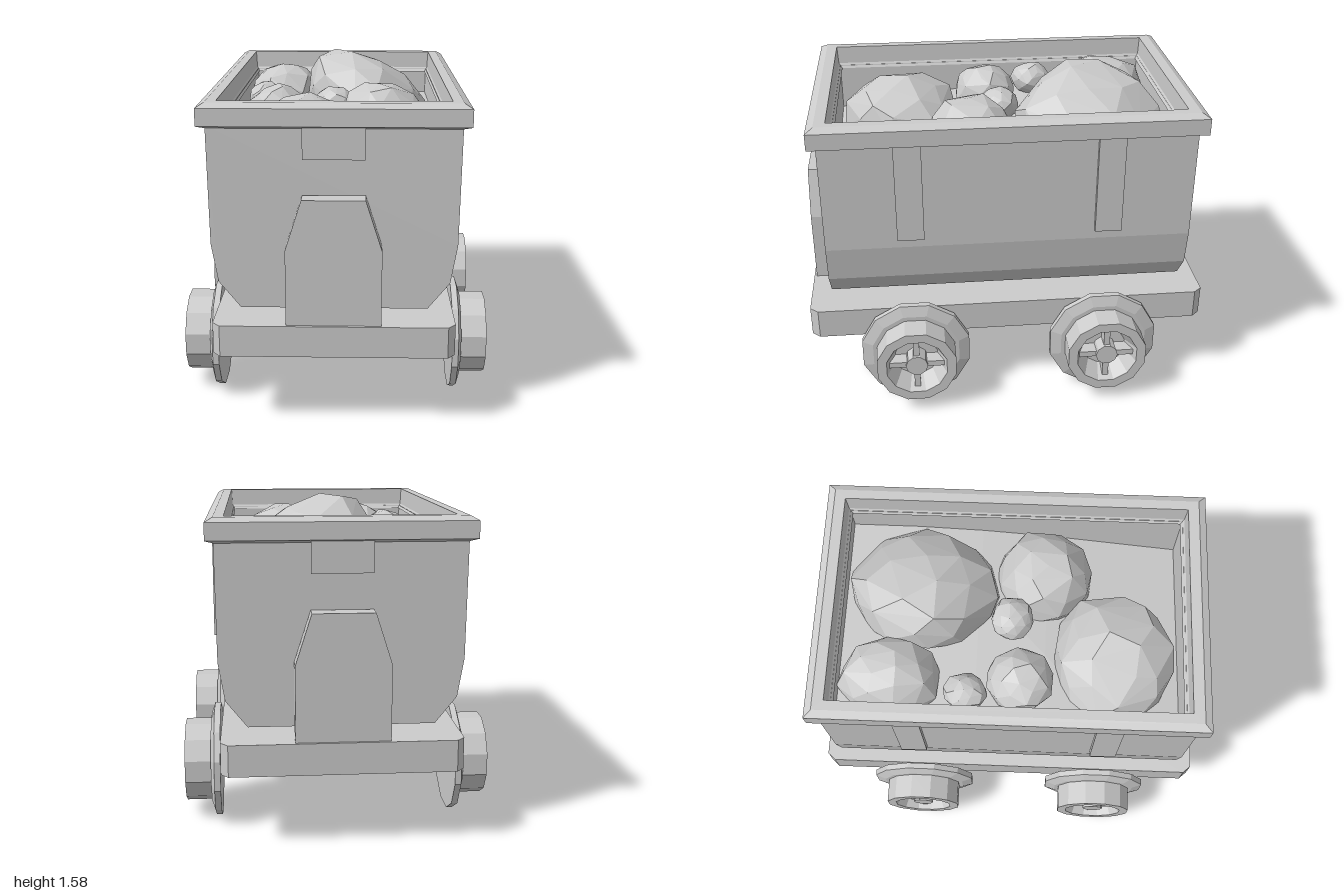
import * as THREE from 'three';
import { ConvexGeometry } from 'three/addons/geometries/ConvexGeometry.js';

const mat = new THREE.MeshStandardMaterial({ color: 0xcccccc, flatShading: true });

export function createModel() {
  const model = new THREE.Group();
  const add = (name, geo, parent = model) => {
    const mesh = new THREE.Mesh(geo, mat);
    mesh.name = name;
    parent.add(mesh);
    return mesh;
  };
  const box = (name, w, h, d, x, y, z, parent) =>
    add(name, new THREE.BoxGeometry(w, h, d).translate(x, y, z), parent);
  // Outline symmetric in x from its right half, extruded along z
  const extrude = (half, z0, z1) => {
    const pts = [...half, ...half.slice().reverse().map(([x, y]) => [-x, y])];
    const shape = new THREE.Shape(pts.map(([x, y]) => new THREE.Vector2(x, y)));
    return new THREE.ExtrudeGeometry(shape, { depth: z1 - z0, bevelEnabled: false }).translate(0, 0, z0);
  };

  // Undercarriage plate with cut corners
  const plate = extrude([[0.52, -1], [0.555, -0.96], [0.555, 0.96], [0.52, 1]], 0, 0.15);
  add('chassis', plate.rotateX(-Math.PI / 2).translate(0, 0.365, 0));

  // Tub: hollow section closed by two end walls
  const hull = [[0.43, 0.565], [0.53, 0.69], [0.56, 0.87], [0.567, 1.42]];
  add('tubWalls', extrude([...hull, [0.507, 1.42], [0.5, 1.05]], -0.83, 0.83));
  for (const s of [-1, 1]) {
    add('tubEnd', extrude(hull, s > 0 ? 0.83 : -0.893, s > 0 ? 0.893 : -0.83));
    // Brackets and plates on the ends
    const arch = [[0.217, 0.5], [0.217, 0.87], [0.142, 1.105]];
    add('endBracket', extrude(arch, s > 0 ? 0.9 : -0.987, s > 0 ? 0.987 : -0.9));
    box('endPlate', 0.28, 0.15, 0.06, 0, 1.345, s * 0.885);
    // Straps on the sides
    for (const z of [-0.48, 0.48]) box('sideStrap', 0.06, 0.5, 0.13, s * 0.555, 1.17, z);
  }

  // Rim: rectangular loops [half width, half depth, height]
  const loops = [
    [0.5, 0.82, 1.405], [0.565, 0.892, 1.405], [0.603, 0.932, 1.42], [0.603, 0.932, 1.5],
    [0.567, 0.896, 1.52], [0.52, 0.843, 1.52], [0.515, 0.838, 1.43], [0.5, 0.82, 1.405],
  ];
  const corner = ([x, z, y], k) => [[x, y, z], [x, y, -z], [-x, y, -z], [-x, y, z]][k % 4];
  const verts = [];
  for (let i = 0; i < loops.length - 1; i++) {
    for (let k = 0; k < 4; k++) {
      const a = corner(loops[i], k), b = corner(loops[i], k + 1);
      const c = corner(loops[i + 1], k + 1), d = corner(loops[i + 1], k);
      verts.push(...a, ...b, ...c, ...a, ...c, ...d);
    }
  }
  const rim = new THREE.BufferGeometry();
  rim.setAttribute('position', new THREE.Float32BufferAttribute(verts, 3));
  rim.computeVertexNormals();
  add('rim', rim);

  // Wheelsets
  const wheelProfile = [
    [0, 0.565], [0.28, 0.565], [0.28, 0.595], [0.225, 0.613], [0.203, 0.613],
    [0.203, 0.738], [0.155, 0.738], [0.11, 0.64], [0, 0.64],
  ].map(([r, h]) => new THREE.Vector2(r, h));
  for (const z of [-0.48, 0.48]) {
    const set = new THREE.Group();
    set.name = 'wheelset';
    set.position.set(0, 0.275, z);
    model.add(set);
    add('axle', new THREE.CylinderGeometry(0.087, 0.087, 1.14, 12).rotateZ(Math.PI / 2), set);
    for (const s of [0, 1]) {
      const wheel = new THREE.Group();
      wheel.name = 'wheel';
      wheel.rotation.y = s * Math.PI;
      set.add(wheel);
      add('wheelBody', new THREE.LatheGeometry(wheelProfile, 12, Math.PI / 12).rotateZ(-Math.PI / 2), wheel);
      add('hub', new THREE.CylinderGeometry(0.055, 0.055, 0.1, 10).rotateZ(Math.PI / 2).translate(0.675, 0, 0), wheel);
      box('spoke', 0.07, 0.3, 0.03, 0.675, 0, 0, wheel);
      box('spoke', 0.07, 0.03, 0.3, 0.675, 0, 0, wheel);
    }
  }

  // Uneven bed of fill, lower toward the front corner
  const bed = new THREE.PlaneGeometry(1.02, 1.67, 3, 5).rotateX(-Math.PI / 2);
  const bp = bed.attributes.position;
  for (let i = 0; i < bp.count; i++) {
    const x = bp.getX(i), z = bp.getZ(i);
    bp.setY(i, 1.28 - 0.1 * Math.max(0, z) - 0.06 * Math.max(0, x + z));
  }
  add('fill', bed);

  // Faceted rocks: centre, radii, sideways lean
  let seed = 7;
  const rand = () => (seed = (seed * 16807) % 2147483647) / 2147483647;
  const rocks = [
    [0.16, 1.27, -0.44, 0.36, 0.3, 0.39, -0.35],
    [-0.33, 1.28, -0.58, 0.2, 0.23, 0.26, 0.1],
    [-0.18, 1.25, 0.5, 0.33, 0.24, 0.32, 0.1],
    [0.25, 1.25, 0.15, 0.26, 0.26, 0.25, -0.1],
    [-0.32, 1.32, 0.05, 0.16, 0.15, 0.17, 0],
    [-0.02, 1.36, 0.0, 0.11, 0.09, 0.11, 0],
    [-0.4, 1.35, -0.21, 0.095, 0.09, 0.11, 0],
  ];
  for (const [x, y, z, rx, ry, rz, lean] of rocks) {
    const pts = [];
    const n = 50, turn = rand() * 6;
    for (let i = 0; i < n; i++) {
      const h = 1 - (2 * i + 1) / n, r = Math.sqrt(1 - h * h);
      const a = i * 2.39996 + turn + rand() * 0.3, k = 0.9 + rand() * 0.12;
      const dx = Math.cos(a) * r * k * rx;
      pts.push(new THREE.Vector3(x + dx, y + h * k * ry + lean * dx, z + Math.sin(a) * r * k * rz));
    }
    add('rock', new ConvexGeometry(pts));
  }
  return model;
}
